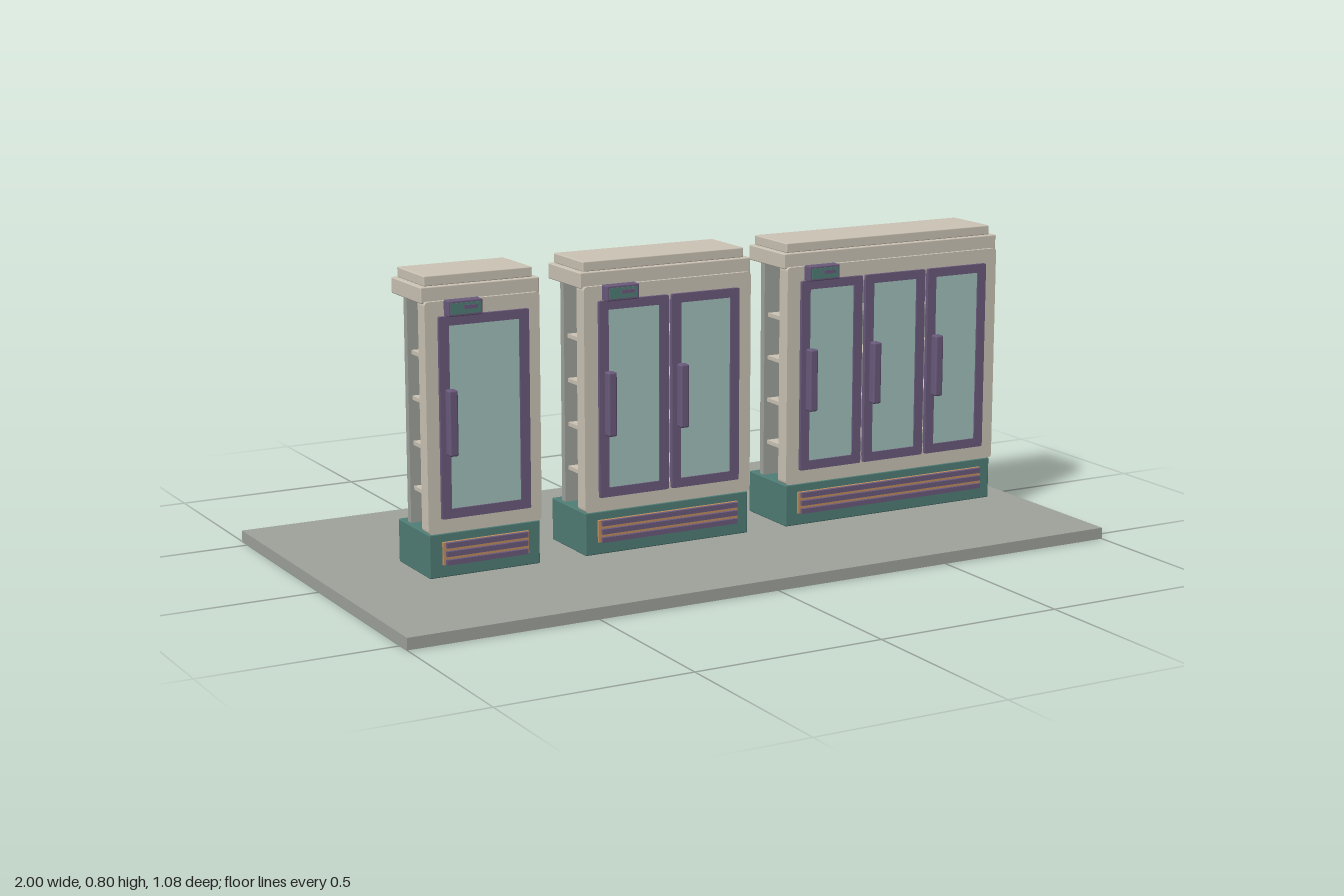
import * as THREE from 'three';
import { RoundedBoxGeometry } from 'three/addons/geometries/RoundedBoxGeometry.js';

const material = (name, color) => {
  const m = new THREE.MeshStandardMaterial({ color });
  m.name = name;
  return m;
};

const mats = {
  grey: material('grey', 0x9ea29b),
  cream: material('cream', 0xcbc3b4),
  teal: material('teal', 0x507d76),
  purple: material('purple', 0x6a5a7c),
  glass: material('glass', 0xa1c1bc),
  orange: material('orange', 0xc08e60),
};

// Box given by its limits on each axis; r rounds the edges slightly
function box(parent, name, mat, [x0, x1], [y0, y1], [z0, z1], r = 0) {
  const size = [x1 - x0, y1 - y0, z1 - z0];
  const geo = r ? new RoundedBoxGeometry(...size, 2, r) : new THREE.BoxGeometry(...size);
  const mesh = new THREE.Mesh(geo, mat);
  mesh.name = name;
  mesh.position.set((x0 + x1) / 2, (y0 + y1) / 2, (z0 + z1) / 2);
  parent.add(mesh);
  return mesh;
}

// Rectangular frame with a rectangular hole and softened outer corners
function ring(parent, name, mat, [x0, x1], [y0, y1], [z0, z1], hole, r) {
  const shape = new THREE.Shape();
  shape.moveTo(x0 + r, y0);
  shape.lineTo(x1 - r, y0);
  shape.quadraticCurveTo(x1, y0, x1, y0 + r);
  shape.lineTo(x1, y1 - r);
  shape.quadraticCurveTo(x1, y1, x1 - r, y1);
  shape.lineTo(x0 + r, y1);
  shape.quadraticCurveTo(x0, y1, x0, y1 - r);
  shape.lineTo(x0, y0 + r);
  shape.quadraticCurveTo(x0, y0, x0 + r, y0);
  const [[hx0, hx1], [hy0, hy1]] = hole;
  const path = new THREE.Path();
  path.moveTo(hx0, hy0);
  path.lineTo(hx0, hy1);
  path.lineTo(hx1, hy1);
  path.lineTo(hx1, hy0);
  path.closePath();
  shape.holes.push(path);
  const geo = new THREE.ExtrudeGeometry(shape, { depth: z1 - z0, bevelEnabled: false, curveSegments: 4 });
  const mesh = new THREE.Mesh(geo, mat);
  mesh.name = name;
  mesh.position.z = z0;
  parent.add(mesh);
}

// One door: frame, pane and grip on its right-hand side
function door(parent, x0, x1) {
  const g = new THREE.Group();
  g.name = 'door';
  const b = 0.026;
  const hole = [[x0 + b, x1 - b], [0.226, 0.68]];
  ring(g, 'doorFrame', mats.purple, [x0, x1], [0.202, 0.703], [0.198, 0.209], hole, 0.004);
  box(g, 'doorPane', mats.glass, [x0 + b - 0.002, x1 - b + 0.002], [0.224, 0.682], [0.2, 0.205]);
  box(g, 'doorHandle', mats.purple, [x0 + 0.012, x0 + 0.036], [0.362, 0.526], [0.209, 0.235], 0.005);
  parent.add(g);
}

function cabinet(centre, width, doors) {
  const g = new THREE.Group();
  g.name = 'cabinet' + doors;
  g.position.x = centre;
  const w = width / 2;
  const span = (d) => [-w - d, w + d];

  // Plinth, stepped top and back
  box(g, 'base', mats.teal, span(0), [0.052, 0.163], [0.008, 0.195], 0.003);
  box(g, 'lowerCap', mats.cream, span(0.008), [0.735, 0.775], [0.013, 0.19], 0.003);
  box(g, 'upperCap', mats.cream, span(-0.006), [0.774, 0.8], [0.018, 0.178], 0.003);
  box(g, 'backPanel', mats.grey, span(-0.01), [0.163, 0.735], [0.045, 0.064]);

  // Front surround and shelves
  ring(g, 'frontFrame', mats.cream, span(0.003), [0.165, 0.74], [0.16, 0.2],
    [span(-0.047), [0.218, 0.69]], 0.01);
  for (const y of [0.252, 0.366, 0.48, 0.594]) {
    box(g, 'shelf', mats.cream, span(-0.02), [y - 0.005, y + 0.005], [0.064, 0.16]);
  }

  // Doors side by side
  const pitch = (width - 0.06) / doors;
  for (let i = 0; i < doors; i++) {
    const x = -w + 0.03 + i * pitch;
    const gap = doors > 1 ? 0.005 : 0;
    door(g, x + gap, x + pitch - gap);
  }

  // Temperature display
  const dx = -w + 0.047;
  box(g, 'displayCase', mats.purple, [dx, dx + 0.091], [0.704, 0.743], [0.198, 0.227], 0.003);
  box(g, 'displayScreen', mats.teal, [dx + 0.006, dx + 0.085], [0.71, 0.737], [0.226, 0.229]);
  box(g, 'displayBar', mats.purple, [dx + 0.04, dx + 0.076], [0.722, 0.731], [0.228, 0.232]);

  // Vent grille
  box(g, 'grillePlate', mats.orange, span(-0.034), [0.085, 0.142], [0.194, 0.203]);
  for (const y of [0.092, 0.1135, 0.135]) {
    box(g, 'grilleSlat', mats.purple, span(-0.04), [y - 0.0065, y + 0.0065], [0.203, 0.212]);
  }
  return g;
}

export function createModel() {
  const model = new THREE.Group();
  model.name = 'displayCabinets';
  box(model, 'floorSlab', mats.grey, [-1, 1], [0, 0.03], [-0.54, 0.54]);
  model.add(cabinet(-0.637, 0.3, 1), cabinet(-0.123, 0.472, 2), cabinet(0.553, 0.647, 3));
  return model;
}
